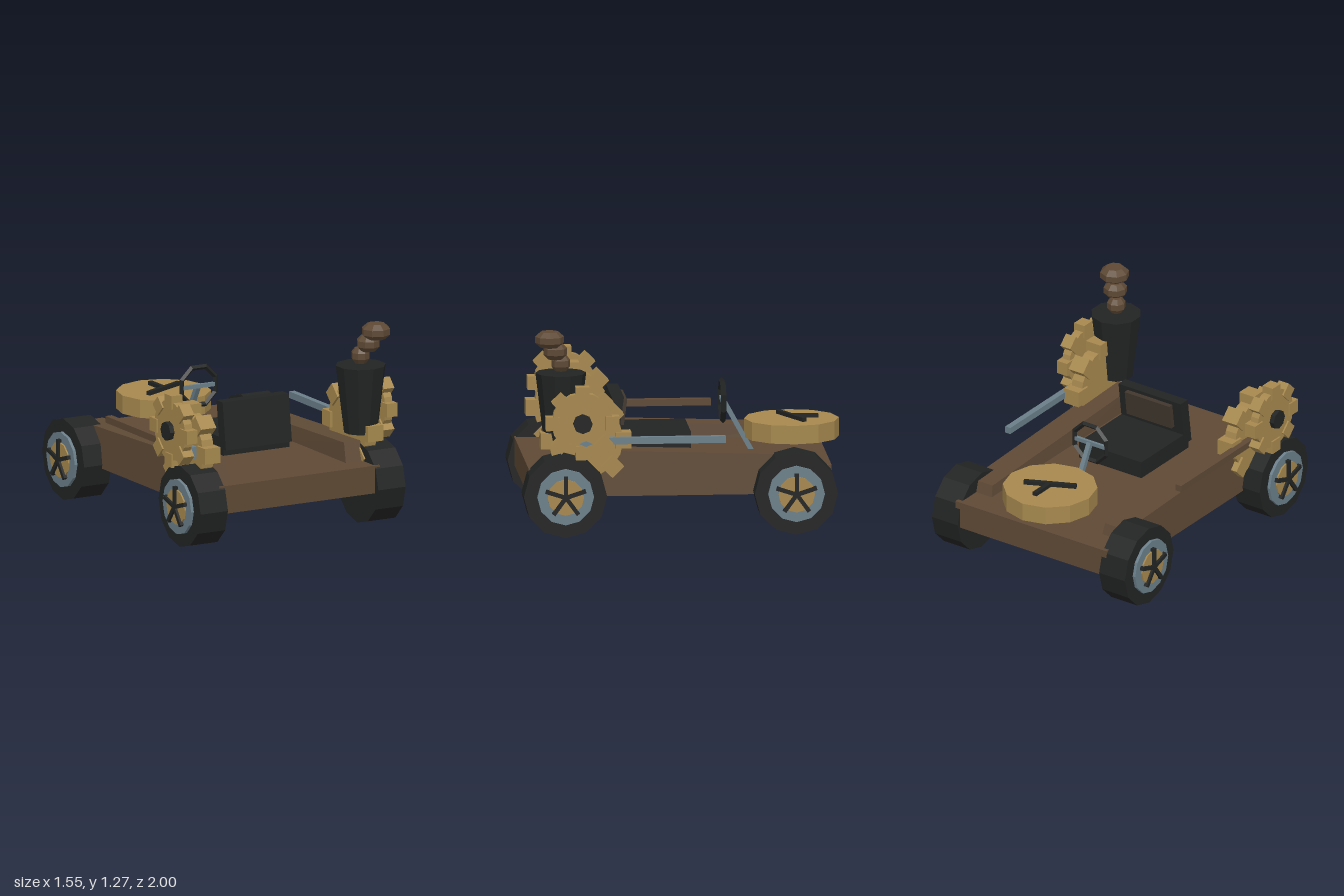
import * as THREE from 'three';

const mat = (name, color) => {
  const m = new THREE.MeshStandardMaterial({ color, flatShading: true });
  m.name = name;
  return m;
};

export function createModel() {
  const wood = mat('wood brown', 0x5e4935);
  const brass = mat('brass', 0xa6884e);
  const black = mat('black', 0x222323);
  const steel = mat('blue steel', 0x6b7f8a);
  const leather = mat('dark leather', 0x40362d);
  const root = new THREE.Group();

  const add = (name, geo, material, x = 0, y = 0, z = 0, parent = root) => {
    const m = new THREE.Mesh(geo, material);
    m.name = name;
    m.position.set(x, y, z);
    parent.add(m);
    return m;
  };
  const group = (name, x, y, z) => {
    const g = new THREE.Group();
    g.name = name;
    g.position.set(x, y, z);
    root.add(g);
    return g;
  };
  const box = (w, h, d) => new THREE.BoxGeometry(w, h, d);
  // Disc whose axis runs along x, with a corner pointing up
  const disc = (r, width, sides) => new THREE.CylinderGeometry(r, r, width, sides).rotateZ(Math.PI / 2);
  // Move every vertex of a unit box by a rule
  const shapedBox = (rule) => {
    const geo = box(1, 1, 1), p = geo.attributes.position;
    for (let i = 0; i < p.count; i++) p.setXYZ(i, ...rule(p.getX(i) > 0, p.getY(i) > 0, p.getZ(i) > 0));
    geo.computeVertexNormals();
    return geo;
  };

  // Chassis
  add('chassis', box(1.14, 0.175, 1.87), wood, 0, 0.3175, 0.025);

  // Side rails, tapered and lower towards -z
  for (const s of [-1, 1]) {
    add('sideRail', shapedBox((px, up, front) => {
      const outer = px === (s > 0);
      const x = outer ? (up ? 0.588 : 0.602) : (up ? 0.425 : 0.4);
      const z = front ? (up ? 0.77 : 0.87) : (up ? -0.72 : -0.79);
      return [s * x, up ? (front ? 0.525 : 0.475) : 0.234, z];
    }), wood);
  }

  // Wheels with rim, brass hub and five spokes
  for (const s of [-1, 1]) for (const z of [0.745, -0.68]) {
    const w = group('wheel', s * 0.6325, 0.257, z);
    add('tyre', disc(0.257, 0.195, 12), black, 0, 0, 0, w);
    add('rim', disc(0.175, 0.03, 12), steel, s * 0.102, 0, 0, w);
    add('hub', disc(0.113, 0.03, 12), brass, s * 0.112, 0, 0, w);
    for (let i = 0; i < 5; i++) {
      const geo = box(0.025, 0.13, 0.025).translate(0, 0.065, 0).rotateX(i * Math.PI * 2 / 5);
      add('spoke', geo, black, s * 0.13, 0, 0, w);
    }
  }

  // Gears with eight block teeth
  const gear = (name, x, y, z, r, width, tooth, toothWidth, tip) => {
    const g = group(name, x, y, z);
    add('gearDisc', disc(r, width, 16), brass, 0, 0, 0, g);
    for (let i = 0; i < 8; i++) {
      const geo = box(toothWidth, tooth, tooth).translate(0, tip - tooth / 2, 0).rotateX(i * Math.PI / 4);
      add('gearTooth', geo, brass, 0, 0, 0, g);
    }
    return g;
  };
  for (const s of [-1, 1]) {
    const outer = gear('outerGear', s * 0.712, 0.715, 0.64, 0.19, 0.055, 0.085, 0.076, 0.227);
    add('gearAxle', disc(0.06, 0.06, 8), black, s * 0.028, 0, 0, outer);
    gear('innerGear', s * 0.58, 0.587, 0.61, 0.23, 0.08, 0.1, 0.11, 0.28);
  }

  // Piston rods
  add('leftPistonRod', box(0.038, 0.042, 0.83), steel, 0.647, 0.59, 0.165);
  add('pistonPin', new THREE.CylinderGeometry(0.04, 0.04, 0.11, 4).scale(0.45, 1, 1).rotateZ(Math.PI / 2),
    steel, 0.705, 0.59, 0.62);
  add('rightPistonRod', box(0.045, 0.042, 0.83), wood, -0.65, 0.59, 0.155);
  add('pistonHead', box(0.06, 0.075, 0.23), steel, -0.65, 0.588, 0.655);

  // Chimney and smoke puffs
  add('chimney', new THREE.CylinderGeometry(0.157, 0.105, 0.425, 10), black, 0.55, 0.79, 0.76);
  const puffs = [[0.548, 1.062, 0.76, 0.058], [0.582, 1.142, 0.797, 0.073], [0.615, 1.222, 0.835, 0.09]];
  for (const [x, y, z, r] of puffs) {
    add('smokePuff', new THREE.CylinderGeometry(r * 0.62, r, 0.03, 8).translate(0, 0.034, 0), wood, x, y, z);
    add('smokePuff', new THREE.CylinderGeometry(r, r, 0.038, 8), wood, x, y, z);
    add('smokePuff', new THREE.CylinderGeometry(r, r * 0.62, 0.03, 8).translate(0, -0.034, 0), wood, x, y, z);
  }

  // Seat with leaning backrest
  add('seatCushion', box(0.47, 0.11, 0.5), black, 0, 0.505, 0.18);
  add('seatBack', shapedBox((px, up, front) => [
    px ? 0.235 : -0.235, up ? 0.785 : 0.49, (up ? 0.345 : 0.385) + (front ? 0.075 : 0),
  ]), black);
  add('seatBackPad', box(0.34, 0.16, 0.03).rotateX(-0.13), leather, 0, 0.68, 0.345);

  // Steering wheel, crossbar and column
  add('steeringWheel', new THREE.TorusGeometry(0.128, 0.017, 4, 8).rotateZ(Math.PI / 8), black, 0, 0.715, -0.28);
  add('steeringBar', box(0.24, 0.025, 0.02), steel, 0, 0.715, -0.28);
  const column = add('steeringColumn', box(0.03, 0.36, 0.03), steel, 0, 0.56, -0.373);
  column.rotation.x = Math.atan2(0.17, 0.31);

  // Dial with three hands
  add('dial', new THREE.CylinderGeometry(0.293, 0.293, 0.115, 12), brass, 0, 0.5425, -0.707);
  for (const angle of [0, -Math.PI * 0.36, Math.PI * 0.64]) {
    const geo = box(0.028, 0.025, 0.17).translate(0, 0, -0.08).rotateY(angle);
    add('dialHand', geo, black, 0, 0.612, -0.707);
  }
  return root;
}
